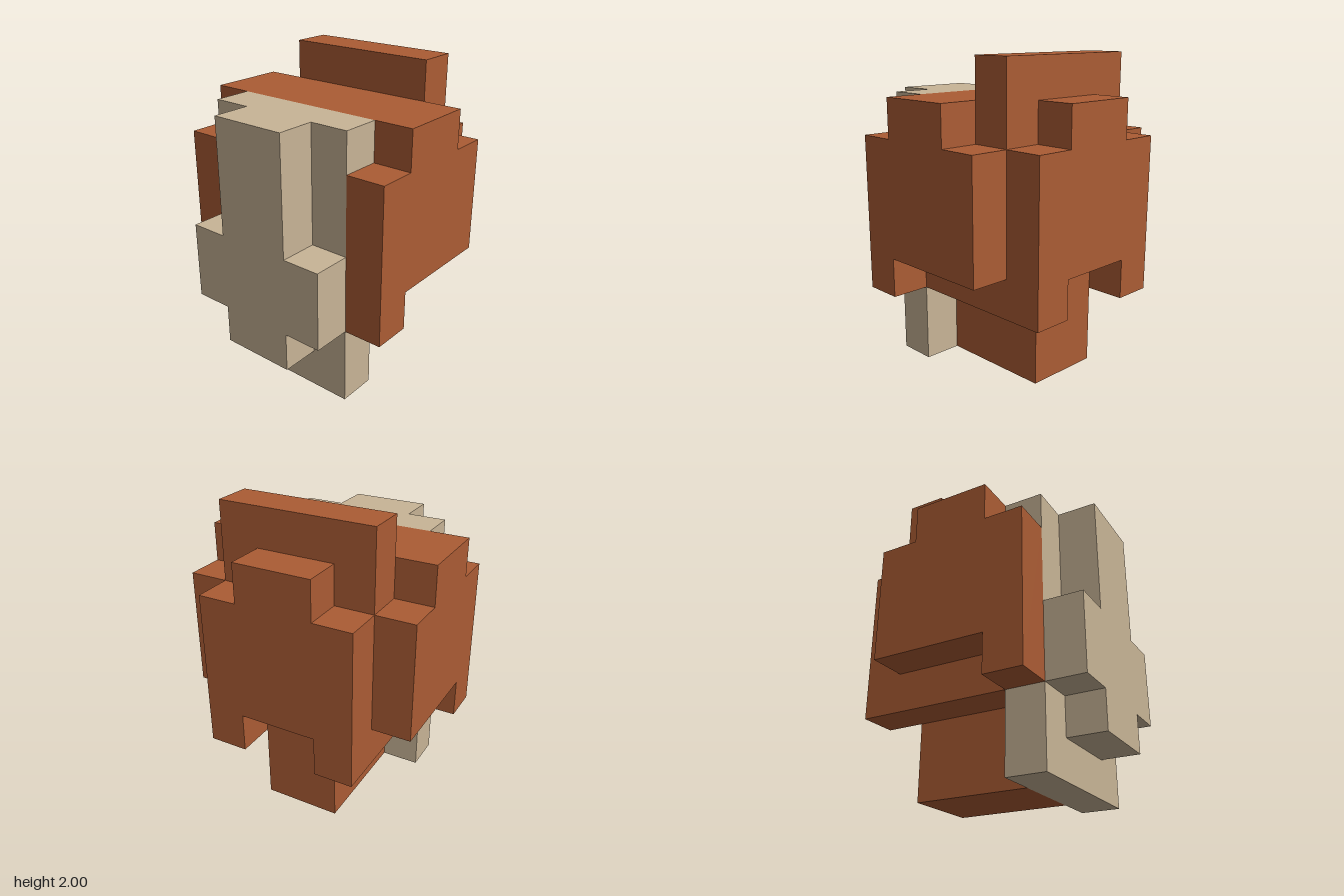
import * as THREE from 'three';

const U = 0.25; // one block

// Extrudes an outline given in blocks
function slab(points, depth) {
  const shape = new THREE.Shape(points.map(([a, b]) => new THREE.Vector2(a * U, b * U)));
  return new THREE.ExtrudeGeometry(shape, { depth: depth * U, bevelEnabled: false });
}

// Outline in (x, y), mirrored from its right half, starting at z0
function frontSlab(half, z0, depth) {
  const mirrored = half.map(([x, y]) => [-x, y]).reverse();
  return slab([...half, ...mirrored], depth).translate(0, 0, z0 * U);
}

// Outline in (z, y), running along x from x0
function sideSlab(points, x0, depth) {
  return slab(points, depth).rotateY(-Math.PI / 2).translate((x0 + depth) * U, 0, 0);
}

export function createModel() {
  const model = new THREE.Group();
  const rust = new THREE.MeshStandardMaterial({ color: 0xab5c34 });
  rust.name = 'rust';
  const tan = new THREE.MeshStandardMaterial({ color: 0xc8b496 });
  tan.name = 'tan';

  function add(name, geometry, material) {
    const mesh = new THREE.Mesh(geometry, material);
    mesh.name = name;
    model.add(mesh);
  }

  // Core with the raised crest at its rear
  add('bodyAndCrest', sideSlab([[-2, 2], [1, 2], [1, 7], [-1, 7], [-1, 8], [-2, 8]], -2, 4), rust);

  // Narrow base under the core
  add('base', new THREE.BoxGeometry(2 * U, 2 * U, 3 * U).translate(0, U, -0.5 * U), rust);

  // Back plate, stepped on top and notched below
  add('backPlate', frontSlab([[1, 3], [1, 2], [2, 2], [2, 6], [1, 6], [1, 7]], -3, 1), rust);

  // Side plates, reaching lower at the front
  const side = [[-2, 3], [1, 3], [1, 2], [2, 2], [2, 6], [1, 6], [1, 7], [-1, 7], [-1, 6], [-2, 6]];
  add('leftSidePlate', sideSlab(side, 2, 1), rust);
  add('rightSidePlate', sideSlab(side, -3, 1), rust);

  // Pale front: full panel and the cross-shaped relief on it
  add('frontPanel', new THREE.BoxGeometry(4 * U, 7 * U, U).translate(0, 3.5 * U, 1.5 * U), tan);
  add('frontRelief', frontSlab([[1, 1], [1, 2], [2, 2], [2, 4], [1, 4], [1, 7]], 2, 1), tan);

  return model;
}
